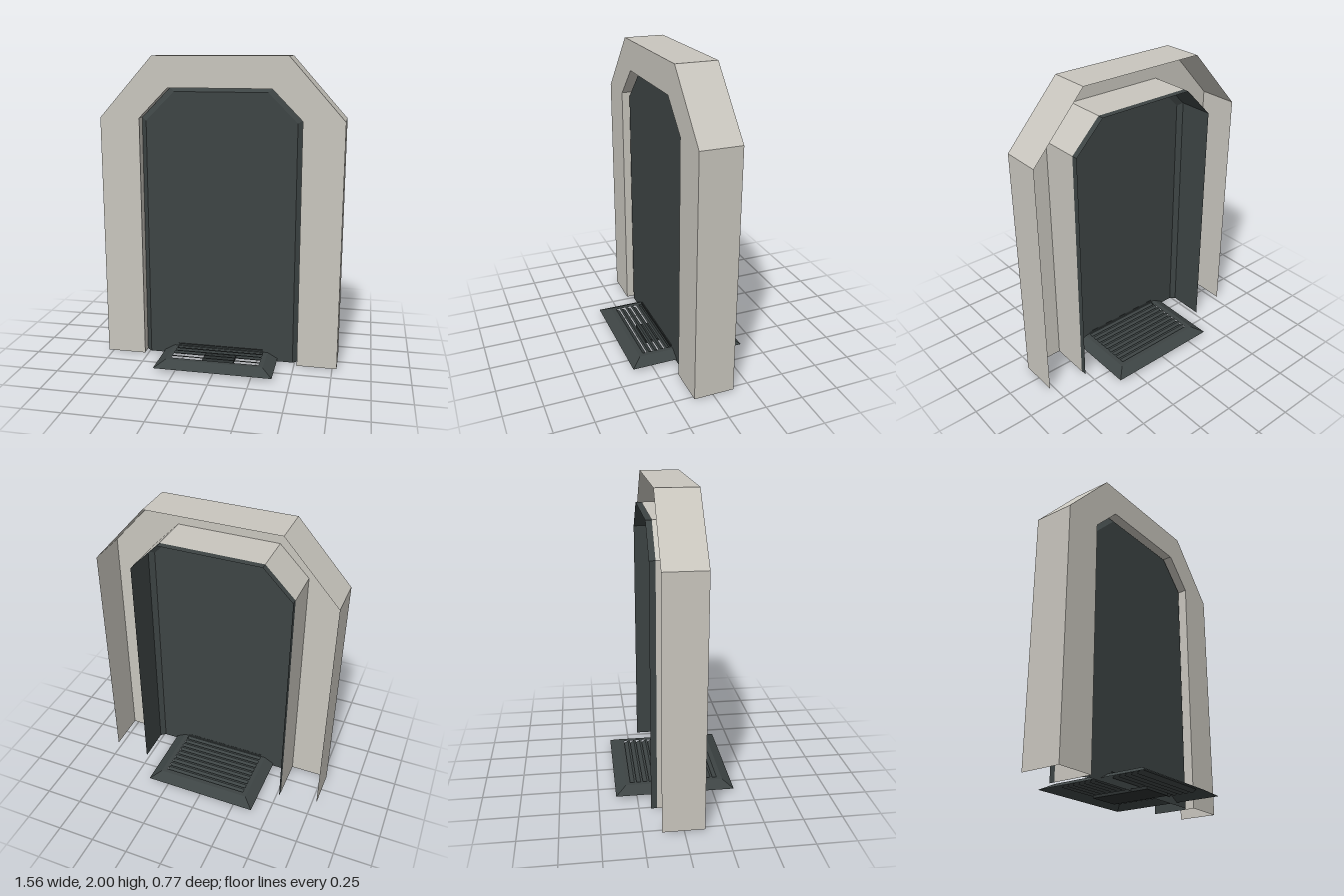
import * as THREE from 'three';

const mat = (name, color) => {
  const m = new THREE.MeshStandardMaterial({ color, side: THREE.DoubleSide });
  m.name = name;
  return m;
};

// Open chamfered arch outline, from the foot at -x over the top to the foot at +x
const arch = (half, topHalf, shoulder, top, foot = 0.005) => [
  [-half, foot], [-half, shoulder], [-topHalf, top],
  [topHalf, top], [half, shoulder], [half, foot],
];

// Flat-shaded band joining matching points of two 3D outlines
function band(a, b) {
  const pos = [];
  for (let i = 0; i < a.length - 1; i++) {
    pos.push(...a[i], ...b[i], ...b[i + 1], ...a[i], ...b[i + 1], ...a[i + 1]);
  }
  const g = new THREE.BufferGeometry();
  g.setAttribute('position', new THREE.Float32BufferAttribute(pos, 3));
  g.computeVertexNormals();
  return g;
}
const atZ = (path, z) => path.map(([x, y]) => [x, y, z]);
const wall = (path, front, back) => band(atZ(path, front), atZ(path, back));
const toShape = (path) => new THREE.Shape(path.map(([x, y]) => new THREE.Vector2(x, y)));

export function createModel() {
  const model = new THREE.Group();
  const stone = mat('warm light grey', 0xc9c6be);
  const dark = mat('dark slate', 0x3d4444);
  const black = mat('deep slate', 0x2b3030);

  const add = (name, geometry, material, parent = model) => {
    const mesh = new THREE.Mesh(geometry, material);
    mesh.name = name;
    parent.add(mesh);
    return mesh;
  };

  // Arch frame: a shell with a front face and outer walls, open at the back
  const front = 0.127, back = -0.137;
  const outer = arch(0.78, 0.43, 1.61, 2);
  const inner = arch(0.52, 0.33, 1.61, 1.803);
  const liner = arch(0.522, 0.331, 1.611, 1.805);
  const frame = new THREE.Group();
  frame.name = 'archFrame';
  model.add(frame);
  const face = new THREE.ShapeGeometry(toShape([...outer, ...[...inner].reverse()]));
  face.translate(0, 0, front);
  add('frameFace', face, stone, frame);
  add('frameOuterWall', wall(outer, front, back), stone, frame);
  add('frameLiner', wall(liner, front, back), stone, frame);

  // Recessed door pan: side wall, bevel and flat panel
  const door = new THREE.Group();
  door.name = 'doorPan';
  model.add(door);
  const panel = arch(0.487, 0.3, 1.592, 1.778);
  add('doorSideWall', wall(inner, 0.06, -0.175), dark, door);
  add('doorBevel', band(atZ(inner, 0.06), atZ(panel, 0.085)), dark, door);
  const panelFace = new THREE.ShapeGeometry(toShape(panel));
  panelFace.translate(0, 0, 0.085);
  add('doorPanel', panelFace, dark, door);
  const sill = new THREE.BoxGeometry(0.58, 0.012, 0.008);
  sill.translate(0, 0.073, 0.088);
  add('doorSill', sill, black, door);

  // Floor grate: sloping rim, slotted top and tilted louvres
  const grate = new THREE.Group();
  grate.name = 'floorGrate';
  model.add(grate);
  const topY = 0.062, rimY = 0.024;
  const square = (s, y) => [[-s, y, -s], [-s, y, s], [s, y, s], [s, y, -s], [-s, y, -s]];
  add('grateRim', band(square(0.32, topY), square(0.387, rimY)), dark, grate);

  const plate = toShape([[-0.32, -0.32], [0.32, -0.32], [0.32, 0.32], [-0.32, 0.32]]);
  const count = 14, pitch = 0.0423, halfSlot = 0.014, slotX = 0.29;
  for (let i = 0; i < count; i++) {
    const z = (i - (count - 1) / 2) * pitch;
    const a = z - halfSlot, b = z + halfSlot;
    plate.holes.push(new THREE.Path([[-slotX, a], [-slotX, b], [slotX, b], [slotX, a]]
      .map(([x, y]) => new THREE.Vector2(x, y))));
    const louvre = band(
      [[-slotX, topY, b], [slotX, topY, b]],
      [[-slotX, topY - 0.02, a], [slotX, topY - 0.02, a]],
    );
    add('grateLouvre', louvre, dark, grate);
  }
  const top = new THREE.ShapeGeometry(plate);
  top.rotateX(-Math.PI / 2);
  top.translate(0, topY, 0);
  add('grateTop', top, dark, grate);

  // Low foot under the grate
  const foot = new THREE.BoxGeometry(0.21, 0.018, 0.4);
  foot.translate(0, 0.009, 0);
  add('grateFoot', foot, black, grate);

  return model;
}
